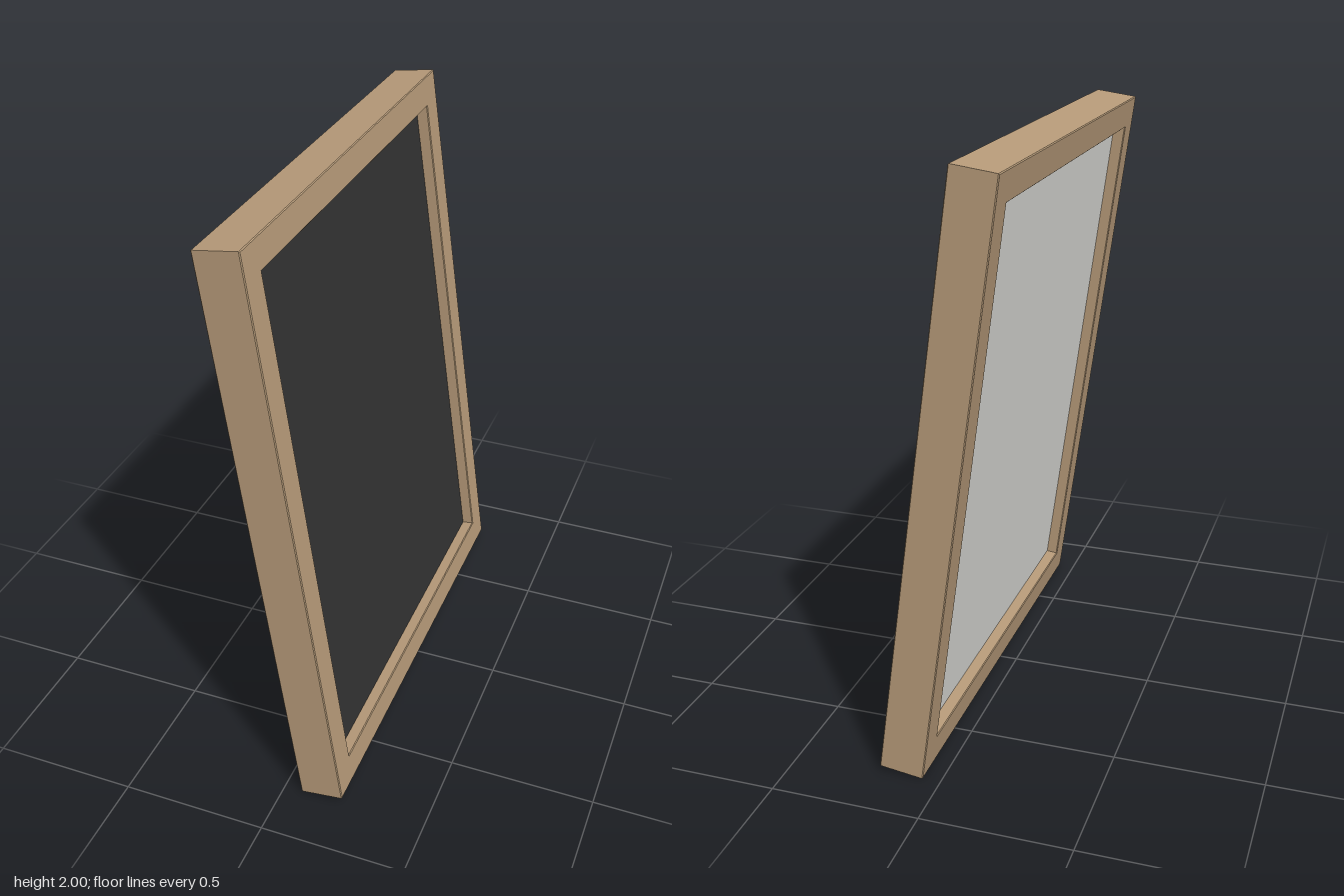
import * as THREE from 'three';

const HEIGHT = 1.998, WIDTH = 1.61, DEPTH = 0.15, BORDER = 0.102;
const RECESS = 0.042, BEVEL = 0.003, LEAN = THREE.MathUtils.degToRad(7.8);

function material(name, color) {
  const m = new THREE.MeshStandardMaterial({ color });
  m.name = name;
  return m;
}

// corner points of a centred rectangle
function rectangle(w, h) {
  return [[-1, -1], [1, -1], [1, 1], [-1, 1]].map(([x, y]) => new THREE.Vector2(x * w / 2, y * h / 2));
}

export function createModel() {
  const model = new THREE.Group();
  model.name = 'leaningFrame';
  const wood = material('tan wood', 0xb89c7a);
  const dark = material('charcoal', 0x333333);
  const pale = material('pale grey', 0xe0e0dc);

  const innerW = WIDTH - 2 * BORDER, innerH = HEIGHT - 2 * BORDER;

  // wooden border with slightly eased edges
  const outline = new THREE.Shape(rectangle(WIDTH, HEIGHT));
  outline.holes.push(new THREE.Path(rectangle(innerW, innerH).reverse()));
  const frameGeometry = new THREE.ExtrudeGeometry(outline, {
    depth: DEPTH - 2 * BEVEL, bevelThickness: BEVEL, bevelSize: BEVEL,
    bevelOffset: -BEVEL, bevelSegments: 1,
  });
  frameGeometry.center().rotateY(Math.PI / 2);
  const frame = new THREE.Mesh(frameGeometry, wood);
  frame.name = 'frame';
  model.add(frame);

  // recessed panel: dark on one side, pale on the other
  const thickness = DEPTH / 2 - RECESS;
  for (const [name, mat, side] of [['darkPanel', dark, 1], ['palePanel', pale, -1]]) {
    const panel = new THREE.Mesh(new THREE.BoxGeometry(thickness, innerH, innerW), mat);
    panel.name = name;
    panel.position.x = side * thickness / 2;
    model.add(panel);
  }

  // lean the whole piece back, resting on its lower edge
  model.rotation.z = LEAN;
  model.position.y = 1;
  return model;
}
